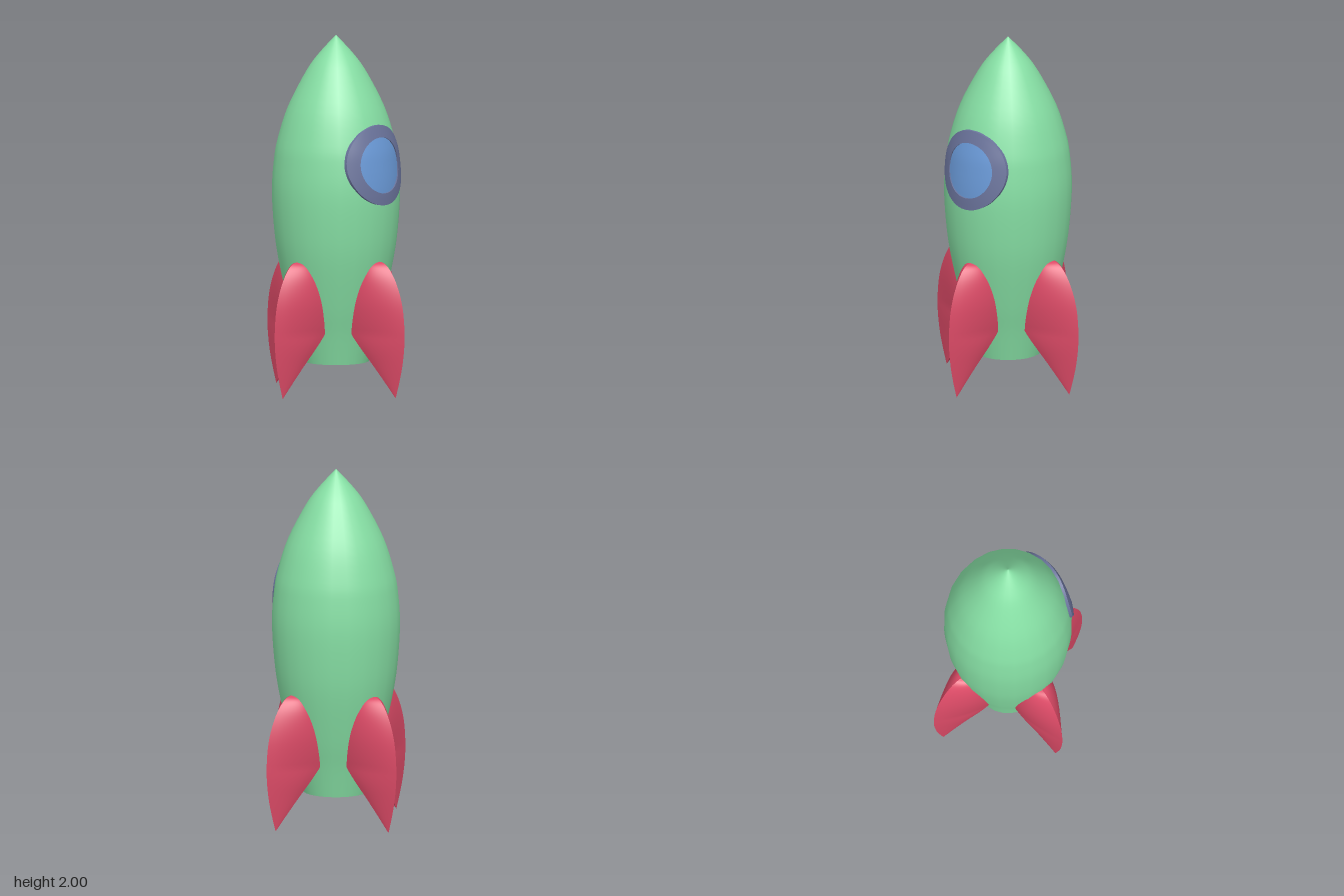
import * as THREE from 'three';

const mat = (color) => new THREE.MeshStandardMaterial({ color });

// Hull profile (radius, height), bottom to nose
const profile = new THREE.SplineCurve([
  [0.185, 0.17], [0.225, 0.34], [0.267, 0.5], [0.32, 0.74], [0.345, 0.92], [0.357, 1.13],
  [0.346, 1.3], [0.325, 1.42], [0.268, 1.6], [0.165, 1.8], [0.088, 1.905], [0, 2],
].map(([r, y]) => new THREE.Vector2(r, y))).getPoints(44);

// Hull radius at a height
function hullRadius(y) {
  let i = 1;
  while (i < profile.length - 1 && profile[i].y < y) i++;
  const a = profile[i - 1], b = profile[i];
  return THREE.MathUtils.lerp(a.x, b.x, THREE.MathUtils.clamp((y - a.y) / (b.y - a.y), 0, 1));
}

// Smooth patch from point(u, v); its front faces along du x dv
function patch(point, nu, nv) {
  const pos = [], index = [];
  for (let i = 0; i <= nu; i++) {
    for (let j = 0; j <= nv; j++) {
      pos.push(...point(i / nu, j / nv));
      if (i < nu && j < nv) {
        const a = i * (nv + 1) + j, b = a + nv + 1;
        index.push(a, b, a + 1, b, b + 1, a + 1);
      }
    }
  }
  const geo = new THREE.BufferGeometry();
  geo.setAttribute('position', new THREE.Float32BufferAttribute(pos, 3));
  geo.setIndex(index);
  geo.computeVertexNormals();
  return geo;
}

function addPart(group, name, geometry, material) {
  const mesh = new THREE.Mesh(geometry, material);
  mesh.name = name;
  group.add(mesh);
}

// Hollow hull: outer skin, inner skin and the rim between them
function makeHull(material) {
  const hull = new THREE.Group();
  hull.name = 'hull';
  const inner = profile.map((p) => new THREE.Vector2(Math.max(p.x - 0.03, 0), Math.min(p.y, 1.95)))
    .filter((p, i, all) => i === 0 || p.y > all[i - 1].y);
  inner[inner.length - 1].x = 0;
  addPart(hull, 'outerSkin', new THREE.LatheGeometry(profile, 24), material);
  addPart(hull, 'innerSkin', new THREE.LatheGeometry(inner.slice().reverse(), 24), material);
  addPart(hull, 'rim', new THREE.LatheGeometry([inner[0], profile[0]], 24), material);
  return hull;
}

// Fin along +x: sharp outer edge, widening towards the hull
function makeFin(material) {
  const fin = new THREE.Group();
  fin.name = 'fin';
  // (outer edge radius, height, half width at the root)
  const edge = new THREE.CatmullRomCurve3([
    [0.445, 0, 0], [0.472, 0.09, 0.024], [0.494, 0.18, 0.05], [0.509, 0.29, 0.085],
    [0.511, 0.38, 0.104], [0.499, 0.5, 0.114], [0.474, 0.59, 0.109], [0.436, 0.67, 0.092],
    [0.394, 0.725, 0.065], [0.362, 0.748, 0.038], [0.33, 0.756, 0],
  ].map((p) => new THREE.Vector3(...p)));
  const section = (v) => {
    const { x: outer, y, z: width } = edge.getPoint(v);
    const slant = 0.445 - 0.7 * y;
    const root = Math.min(outer, Math.max(slant, hullRadius(y) - 0.03));
    return { outer, y, root, width: Math.max(width, 0) };
  };
  const side = (s, v, sign) => {
    const { outer, y, root, width } = section(v);
    return [THREE.MathUtils.lerp(root, outer, s), y, sign * width * (1 - s ** 1.6)];
  };
  addPart(fin, 'finLeftFace', patch((u, v) => side(u, v, 1), 8, 40), material);
  addPart(fin, 'finRightFace', patch((u, v) => side(1 - u, v, -1), 8, 40), material);
  addPart(fin, 'finRoot', patch((u, v) => {
    const { y, root, width } = section(v);
    return [root, y, width * (2 * u - 1)];
  }, 2, 40), material);
  return fin;
}

// Round window wrapped onto the front of the hull
function makeWindow(ringMaterial, glassMaterial) {
  const group = new THREE.Group();
  group.name = 'window';
  const wrapped = (r0, lift0, r1, lift1, steps) => patch((u, v) => {
    const r = THREE.MathUtils.lerp(r0, r1, u), angle = v * Math.PI * 2;
    const x = r * Math.cos(angle), y = 1.3 + r * Math.sin(angle);
    const z = Math.sqrt(hullRadius(y) ** 2 - x * x);
    return [x, y, z + THREE.MathUtils.lerp(lift0, lift1, u)];
  }, steps, 48);
  addPart(group, 'ringFace', wrapped(0.155, 0.014, 0.222, 0.014, 4), ringMaterial);
  addPart(group, 'ringOuterWall', wrapped(0.222, 0.014, 0.222, -0.015, 1), ringMaterial);
  addPart(group, 'ringInnerWall', wrapped(0.155, -0.015, 0.155, 0.014, 1), ringMaterial);
  addPart(group, 'glass', wrapped(0, 0.006, 0.157, 0.006, 8), glassMaterial);
  return group;
}

export function createModel() {
  const model = new THREE.Group();
  model.name = 'rocket';
  model.add(makeHull(mat(0x86dfa4)));
  model.add(makeWindow(mat(0x6b749c), mat(0x6a9ad8)));

  // Four fins around the base
  const finMaterial = mat(0xdb4a66);
  for (let i = 0; i < 4; i++) {
    const fin = makeFin(finMaterial);
    fin.rotation.y = i * Math.PI / 2;
    model.add(fin);
  }
  return model;
}
